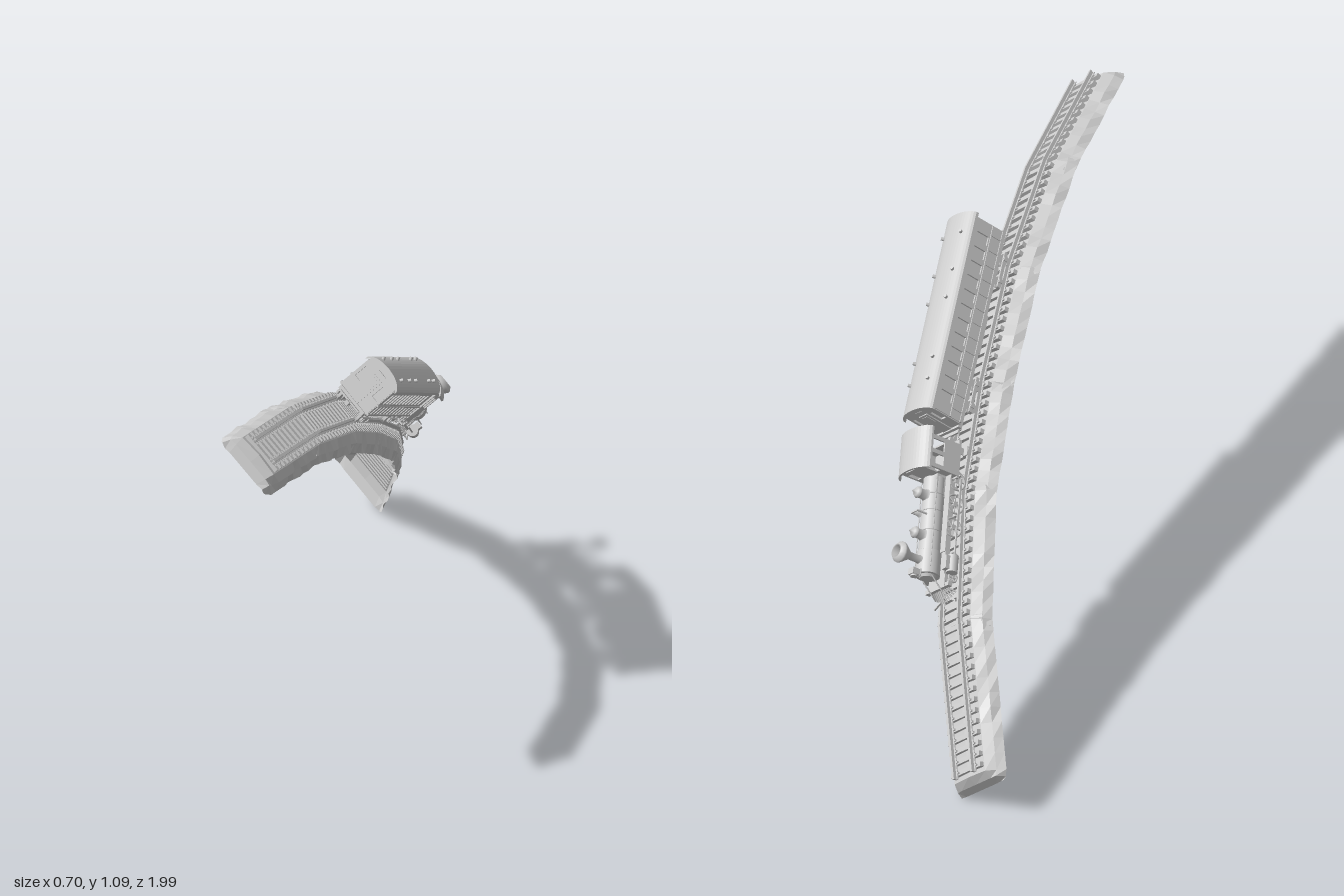
import * as THREE from 'three';

const smooth = new THREE.MeshStandardMaterial({ color: 0xcccccc, side: THREE.DoubleSide });
const flat = new THREE.MeshStandardMaterial({ color: 0xcccccc, side: THREE.DoubleSide, flatShading: true });
const V = (x, y, z) => new THREE.Vector3(x, y, z);
const HALF = Math.PI / 2;

function add(parent, name, geo, x = 0, y = 0, z = 0, rx = 0, ry = 0, rz = 0, mat = smooth) {
  const m = new THREE.Mesh(geo, mat);
  m.name = name;
  m.position.set(x, y, z);
  m.rotation.set(rx, ry, rz);
  parent.add(m);
  return m;
}
const box = (p, name, w, h, d, x, y, z, rx, ry, rz) => add(p, name, new THREE.BoxGeometry(w, h, d), x, y, z, rx, ry, rz);
const cyl = (p, name, r0, r1, len, x, y, z, rx, ry, rz, n = 16) =>
  add(p, name, new THREE.CylinderGeometry(r0, r1, len, n), x, y, z, rx, ry, rz);
const lathe = (p, name, pts, x, y, z) =>
  add(p, name, new THREE.LatheGeometry(pts.map(([r, h]) => new THREE.Vector2(r, h)), 16), x, y, z);

// Group whose local x runs across the track, y up from it, z back along it
function frame(name, front, back, lift = 0) {
  const t = back.clone().sub(front).normalize();
  const w = V(0.73, -0.66, 0.13);
  w.addScaledVector(t, -w.dot(t)).normalize();
  const u = t.clone().cross(w);
  const g = new THREE.Group();
  g.name = name;
  const mid = front.clone().add(back).multiplyScalar(0.5).addScaledVector(u, lift);
  g.applyMatrix4(new THREE.Matrix4().makeBasis(w, u, t).setPosition(mid));
  return g;
}

// Deterministic wobble for the earth edges
const wobble = (i, j, k) => Math.sin(i * 2.3 + j * 4.1 + k * 1.7) * 0.5 + Math.sin(i * 5.1 + j * 1.3 + k * 3.9) * 0.5;

// Open-bottomed mound with four sloping sides
function moundGeometry(len, k) {
  const section = [[-0.102, -0.05], [-0.088, -0.026], [-0.066, -0.004], [0, 0], [0.066, -0.004], [0.088, -0.026], [0.102, -0.05]];
  const rows = [[-len / 2 - 0.032, -0.05, 0.86], [-len / 2 - 0.022, -0.024, 0.94], [-len / 2 - 0.004, 0, 1]];
  for (let i = 1; i < 10; i++) rows.push([-len / 2 + len * i / 10, 0, 1]);
  rows.push([len / 2 + 0.004, 0, 1], [len / 2 + 0.022, -0.024, 0.94], [len / 2 + 0.032, -0.05, 0.86]);
  const pos = [], idx = [], n = section.length;
  rows.forEach(([z, drop, narrow], i) => section.forEach(([x, y], j) => {
    const e = Math.abs(j - 3) > 1 ? 0.004 * wobble(i, j, k) : 0;
    pos.push((x + Math.sign(x) * e) * narrow, Math.min(y, drop) + e, z);
    if (i && j) {
      const a = (i - 1) * n + j - 1, b = a + n;
      idx.push(a, b, a + 1, a + 1, b, b + 1);
    }
  }));
  const g = new THREE.BufferGeometry();
  g.setAttribute('position', new THREE.Float32BufferAttribute(pos, 3));
  g.setIndex(idx);
  g.computeVertexNormals();
  return g;
}

function trackPiece(a, b, k) {
  const g = frame('trackPiece', b, a), len = a.distanceTo(b);
  add(g, 'embankment', moundGeometry(len, k), 0, 0, 0, 0, 0, 0, flat);
  const n = Math.round(len / 0.03);
  for (let i = 0; i < n; i++) {
    const z = -len / 2 + len * (i + 0.5) / n;
    box(g, 'tie', 0.126, 0.016, 0.013, 0, 0.001, z);
    for (const x of [-0.049, -0.029, 0.029, 0.049]) box(g, 'railSpike', 0.006, 0.005, 0.005, x, 0.011, z);
  }
  for (const s of [-1, 1]) {
    box(g, 'railFoot', 0.013, 0.003, len + 0.003, s * 0.039, 0.0105, 0);
    box(g, 'railWeb', 0.003, 0.008, len + 0.003, s * 0.039, 0.015, 0);
    box(g, 'railHead', 0.007, 0.005, len + 0.003, s * 0.039, 0.0205, 0);
  }
  return g;
}

// Arched solid roof, centred along z
function roofGeometry(w, y, rise, t, len) {
  const s = new THREE.Shape();
  s.moveTo(-w, y - t);
  s.lineTo(-w, y);
  s.bezierCurveTo(-w * 0.7, y + rise * 1.3, w * 0.7, y + rise * 1.3, w, y);
  s.lineTo(w, y - t);
  s.bezierCurveTo(w * 0.7, y + rise * 1.3 - t, -w * 0.7, y + rise * 1.3 - t, -w, y - t);
  return new THREE.ExtrudeGeometry(s, { depth: len, bevelEnabled: false, curveSegments: 16 }).translate(0, 0, -len / 2);
}

// Upright wall with a row of window holes, lying in the z-y plane
function wallGeometry(len, y0, y1, windows, ww, wy0, wy1, t) {
  const rect = (P, a, b, c, d) => {
    const p = new P();
    p.moveTo(a, b); p.lineTo(c, b); p.lineTo(c, d); p.lineTo(a, d); p.closePath();
    return p;
  };
  const s = rect(THREE.Shape, -len / 2, y0, len / 2, y1);
  windows.forEach(c => s.holes.push(rect(THREE.Path, c - ww / 2, wy0, c + ww / 2, wy1)));
  return new THREE.ExtrudeGeometry(s, { depth: t, bevelEnabled: false }).translate(0, 0, -t / 2).rotateY(HALF);
}

function wheel(p, name, r, x, y, z) {
  add(p, name + 'Tyre', new THREE.TorusGeometry(r - 0.003, 0.003, 6, 20), x, y, z, 0, HALF);
  cyl(p, name + 'Hub', r * 0.25, r * 0.25, 0.008, x, y, z, 0, 0, HALF, 10);
  for (let i = 0; i < 4; i++) box(p, name + 'Spoke', 0.003, r * 1.8, 0.003, x, y, z, i * Math.PI / 4);
}

function carriage(a, b) {
  const g = frame('carriage', b, a, 0.015), L = 0.61;
  box(g, 'body', 0.104, 0.1, L - 0.01, 0, 0.102, 0);
  box(g, 'underframe', 0.1, 0.012, L + 0.02, 0, 0.05, 0);
  const windows = Array.from({ length: 12 }, (_, i) => (i - 5.5) * 0.046);
  for (const s of [-1, 1]) {
    add(g, 'sideWall', wallGeometry(L, 0.054, 0.156, windows, 0.028, 0.1, 0.14, 0.006), s * 0.054);
    box(g, 'waistRail', 0.004, 0.004, L, s * 0.058, 0.094, 0);
    box(g, 'sill', 0.004, 0.006, L, s * 0.058, 0.058, 0);
    for (let i = 0; i <= 12; i++) box(g, 'panelBatten', 0.003, 0.036, 0.004, s * 0.058, 0.076, (i - 6) * 0.046);
    for (const z of [-0.22, -0.15, 0.04, 0.13, 0.25]) cyl(g, 'roofVent', 0.005, 0.005, 0.014, s * 0.038, 0.18, z, 0, 0, -s * 0.5, 8);
    // End wall with door, steps and coupler
    const ze = s * L / 2;
    add(g, 'endWall', wallGeometry(0.11, 0.054, 0.16, [-0.037, 0.037], 0.02, 0.1, 0.14, 0.006), 0, 0, ze, 0, HALF);
    box(g, 'endDoor', 0.034, 0.088, 0.004, 0, 0.1, ze + s * 0.004);
    box(g, 'doorWindow', 0.02, 0.03, 0.003, 0, 0.122, ze + s * 0.006);
    box(g, 'endStep', 0.08, 0.005, 0.018, 0, 0.045, ze + s * 0.012);
    box(g, 'coupler', 0.012, 0.01, 0.04, 0, 0.04, ze + s * 0.015);
    // Four-wheeled truck
    box(g, 'truckBolster', 0.07, 0.012, 0.02, 0, 0.038, s * 0.2);
    for (const q of [-1, 1]) {
      box(g, 'truckSide', 0.005, 0.01, 0.11, q * 0.05, 0.03, s * 0.2);
      for (const d of [-0.035, 0.035]) {
        cyl(g, 'truckWheel', 0.018, 0.018, 0.008, q * 0.04, 0.026, s * 0.2 + d, 0, 0, HALF);
        box(g, 'axleBox', 0.008, 0.012, 0.012, q * 0.051, 0.028, s * 0.2 + d);
      }
    }
  }
  add(g, 'roof', roofGeometry(0.063, 0.16, 0.025, 0.008, L + 0.02));
  for (const s of [-1, 1]) add(g, 'roofEnd', roofGeometry(0.055, 0.158, 0.024, 0.02, 0.006), 0, 0, s * L / 2);
  box(g, 'underfloorTank', 0.06, 0.022, 0.12, 0, 0.038, 0);
  return g;
}

function locomotive(a, b) {
  const g = frame('locomotive', b, a, 0.006);
  // Frame, boiler and firebox
  box(g, 'mainFrame', 0.05, 0.014, 0.41, 0, 0.05, 0.01);
  cyl(g, 'boiler', 0.031, 0.031, 0.24, 0, 0.094, -0.02, HALF, 0, 0, 24);
  cyl(g, 'smokebox', 0.034, 0.034, 0.07, 0, 0.094, -0.155, HALF, 0, 0, 24);
  cyl(g, 'smokeboxDoor', 0.02, 0.026, 0.008, 0, 0.094, -0.193, -HALF, 0, 0, 20);
  box(g, 'firebox', 0.058, 0.06, 0.07, 0, 0.078, 0.08);
  for (const z of [-0.12, -0.06, 0, 0.05]) add(g, 'boilerBand', new THREE.TorusGeometry(0.0315, 0.0015, 6, 24), 0, 0.094, z);
  // Flared stack, domes, bell and lamp
  lathe(g, 'smokestack', [[0.016, 0], [0.011, 0.008], [0.011, 0.04], [0.03, 0.068], [0.03, 0.074], [0.021, 0.084], [0.015, 0.084], [0.01, 0.05]], 0, 0.122, -0.15);
  for (const z of [-0.075, 0.045]) lathe(g, 'dome', [[0.019, 0], [0.014, 0.006], [0.014, 0.024], [0.017, 0.027], [0.012, 0.035], [0.004, 0.038], [0.003, 0.045], [0, 0.046]], 0, 0.121, z);
  lathe(g, 'bell', [[0.012, 0], [0.008, 0.006], [0.006, 0.016], [0, 0.019]], 0, 0.136, -0.015);
  for (const s of [-1, 1]) box(g, 'bellPost', 0.003, 0.032, 0.004, s * 0.013, 0.138, -0.015);
  box(g, 'bellYoke', 0.028, 0.003, 0.004, 0, 0.155, -0.015);
  box(g, 'lampShelf', 0.026, 0.003, 0.022, 0, 0.127, -0.192);
  box(g, 'lampCase', 0.022, 0.024, 0.018, 0, 0.14, -0.192);
  cyl(g, 'lampRim', 0.01, 0.01, 0.006, 0, 0.14, -0.203, HALF);
  // Cab
  for (const s of [-1, 1]) {
    add(g, 'cabSide', wallGeometry(0.095, 0.055, 0.165, [-0.021, 0.021], 0.03, 0.11, 0.15, 0.005), s * 0.052, 0, 0.155);
    box(g, 'cabStep', 0.02, 0.004, 0.025, s * 0.05, 0.035, 0.19);
    box(g, 'cabStepHanger', 0.003, 0.024, 0.02, s * 0.043, 0.046, 0.19);
  }
  add(g, 'cabFront', wallGeometry(0.104, 0.055, 0.165, [-0.04, 0.04], 0.016, 0.115, 0.15, 0.005), 0, 0, 0.11, 0, HALF);
  add(g, 'cabFrontArch', roofGeometry(0.052, 0.165, 0.022, 0.012, 0.005), 0, 0, 0.11);
  box(g, 'cabFloor', 0.104, 0.008, 0.115, 0, 0.056, 0.16);
  box(g, 'cabRearPanel', 0.104, 0.04, 0.005, 0, 0.075, 0.2);
  add(g, 'cabRoof', roofGeometry(0.066, 0.165, 0.027, 0.006, 0.125), 0, 0, 0.157);
  // Running gear on both sides
  for (const s of [-1, 1]) {
    for (const z of [-0.04, 0.03, 0.1]) wheel(g, 'drivingWheel', 0.03, s * 0.04, 0.05, z);
    for (const z of [-0.185, -0.125]) wheel(g, 'pilotWheel', 0.016, s * 0.037, 0.036, z);
    box(g, 'couplingRod', 0.004, 0.006, 0.15, s * 0.049, 0.042, 0.03);
    box(g, 'pistonRod', 0.004, 0.004, 0.14, s * 0.053, 0.047, -0.06);
    cyl(g, 'cylinder', 0.016, 0.016, 0.05, s * 0.05, 0.05, -0.155, HALF);
    box(g, 'valveChest', 0.018, 0.014, 0.04, s * 0.048, 0.07, -0.155);
    box(g, 'runningBoard', 0.022, 0.003, 0.23, s * 0.043, 0.08, -0.01);
    cyl(g, 'handrail', 0.0015, 0.0015, 0.27, s * 0.034, 0.112, -0.04, HALF, 0, 0, 6);
    cyl(g, 'smokeboxBrace', 0.002, 0.002, 0.07, s * 0.022, 0.079, -0.208, 0.75, 0, 0, 6);
  }
  // Front beam and slatted pilot
  box(g, 'bufferBeam', 0.1, 0.014, 0.012, 0, 0.052, -0.212);
  box(g, 'pilotDeck', 0.07, 0.004, 0.04, 0, 0.059, -0.2);
  for (let i = -5; i <= 5; i++) {
    const top = V(i * 0.007, 0.048, -0.217), foot = V(i * 0.009, 0.026, -0.252 + Math.abs(i) * 0.005);
    add(g, 'pilotSlat', new THREE.TubeGeometry(new THREE.LineCurve3(top, foot), 1, 0.0025, 5));
  }
  for (const s of [-1, 1]) box(g, 'pilotFoot', 0.005, 0.005, 0.054, s * 0.023, 0.026, -0.24, 0, -s * 1.06);
  box(g, 'rearCoupler', 0.012, 0.01, 0.04, 0, 0.046, 0.22);
  return g;
}

export function createModel() {
  const model = new THREE.Group();
  model.name = 'trainOnCurvedTrack';
  const joints = [
    V(0.232, 1.04, 0.94), V(0.22, 0.98, 0.59), V(0.18, 0.865, 0.24), V(0.12, 0.715, -0.08),
    V(0.045, 0.555, -0.38), V(-0.07, 0.365, -0.68), V(-0.24, 0.1, -0.98),
  ];
  for (let i = 0; i < 6; i++) model.add(trackPiece(joints[i], joints[i + 1], i));
  model.add(carriage(V(0.192, 0.893, 0.325), V(0.083, 0.637, -0.235)));
  model.add(locomotive(V(0.077, 0.628, -0.25), V(-0.048, 0.4, -0.625)));
  return model;
}
